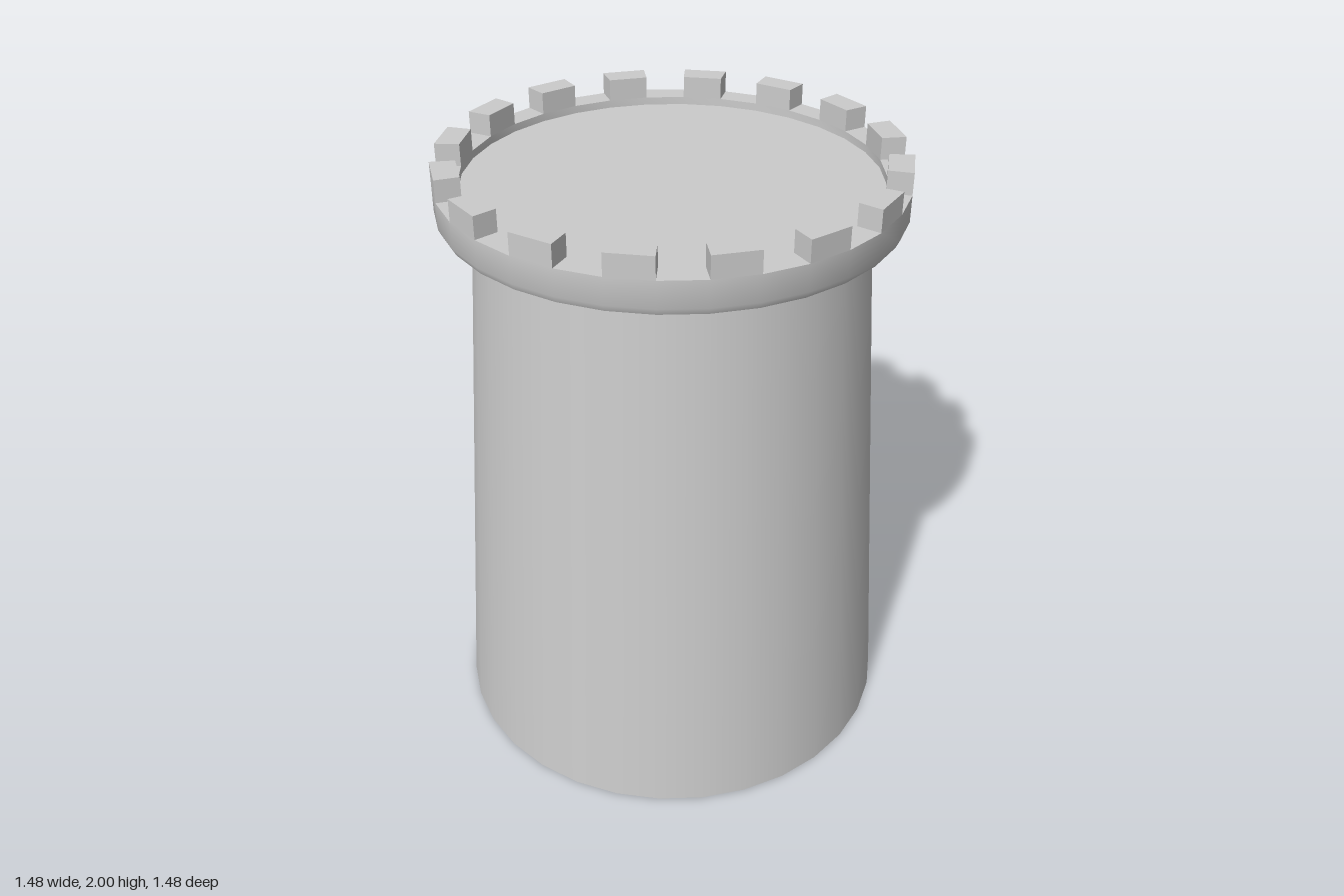
import * as THREE from 'three';
import { toCreasedNormals } from 'three/addons/utils/BufferGeometryUtils.js';

const SIDES = 32;
const STEP = (Math.PI * 2) / SIDES;
const OUTER = 0.722, INNER = 0.645; // parapet radii
const CAP_BOTTOM = 1.825, FLOOR = 1.905, RIM = 1.93, TOP = 2;

const material = new THREE.MeshStandardMaterial({ color: 0xcccccc, side: THREE.DoubleSide });

function addMesh(parent, name, geometry) {
  const mesh = new THREE.Mesh(geometry, material);
  mesh.name = name;
  parent.add(mesh);
  return mesh;
}

// One battlement block spanning a single side of the parapet
function merlonGeometry() {
  const corner = (r, a) => new THREE.Vector2(r * Math.sin(a), -r * Math.cos(a));
  const shape = new THREE.Shape([
    corner(OUTER, 0), corner(OUTER, STEP), corner(INNER, STEP), corner(INNER, 0),
  ]);
  const geometry = new THREE.ExtrudeGeometry(shape, { depth: TOP - RIM, bevelEnabled: false });
  return geometry.rotateX(-Math.PI / 2);
}

export function createModel() {
  const tower = new THREE.Group();
  tower.name = 'tower';

  // Tapered wall, open at the base
  addMesh(tower, 'towerWall', new THREE.CylinderGeometry(0.61, 0.74, CAP_BOTTOM, SIDES, 1, true)
    .translate(0, CAP_BOTTOM / 2, 0));

  // Overhanging parapet ring with a bevelled lower edge
  const profile = [
    [0.61, CAP_BOTTOM], [0.712, CAP_BOTTOM], [OUTER, 1.846],
    [OUTER, RIM], [INNER, RIM], [INNER, FLOOR],
  ].map(([r, y]) => new THREE.Vector2(r, y));
  addMesh(tower, 'parapet', toCreasedNormals(new THREE.LatheGeometry(profile, SIDES), Math.PI / 6));

  // Flat roof floor inside the parapet
  addMesh(tower, 'roofFloor', new THREE.CircleGeometry(INNER, SIDES)
    .rotateX(-Math.PI / 2).translate(0, FLOOR, 0));

  // Battlements on every other side
  const battlements = new THREE.Group();
  battlements.name = 'battlements';
  tower.add(battlements);
  const block = merlonGeometry();
  for (let i = 0; i < SIDES; i += 2) {
    const merlon = addMesh(battlements, 'merlon', block);
    merlon.position.y = RIM;
    merlon.rotation.y = i * STEP;
  }

  return tower;
}
